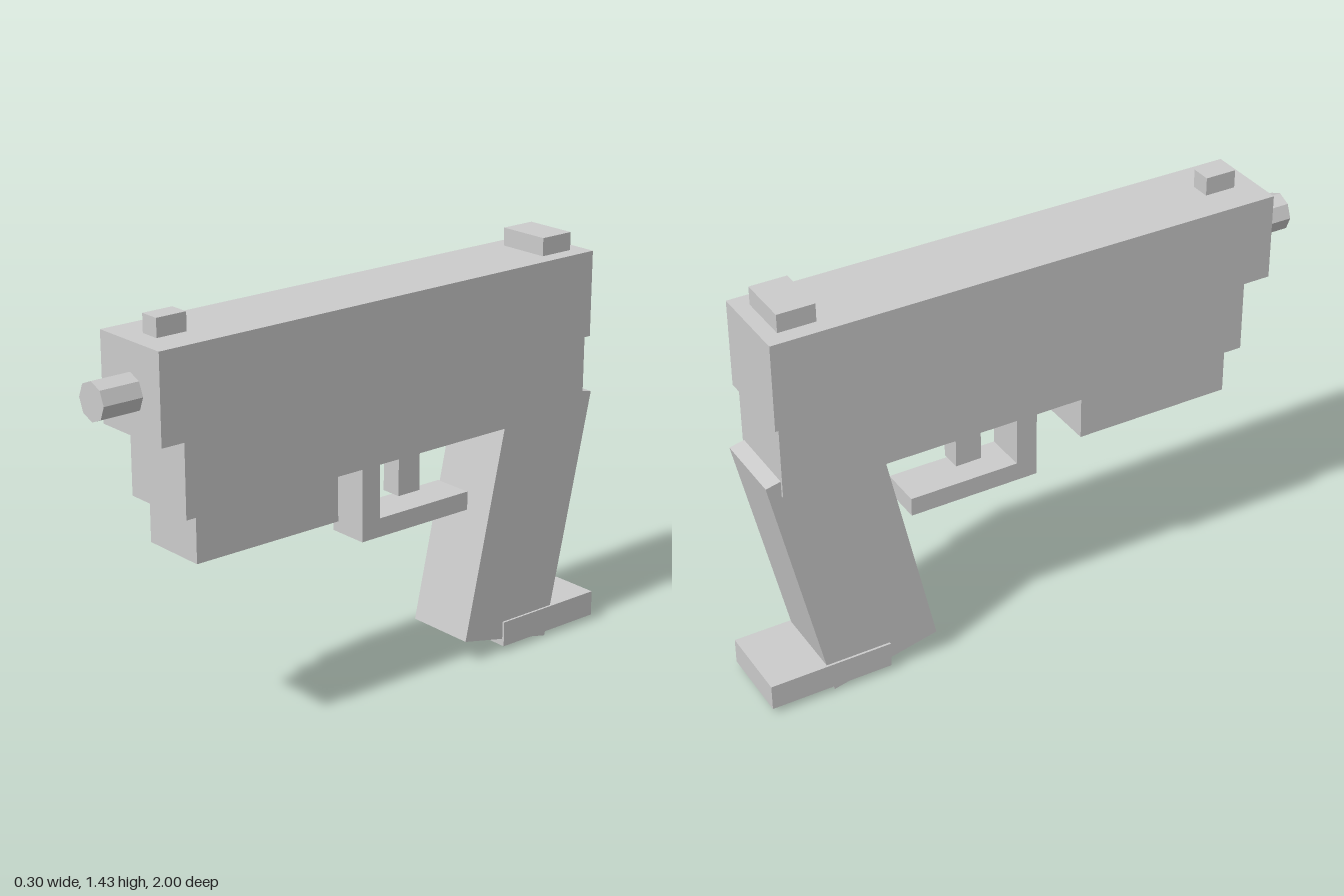
import * as THREE from 'three';

export function createModel() {
  const model = new THREE.Group();
  model.name = 'toyBlaster';
  const grey = new THREE.MeshStandardMaterial({ color: 0xcccccc });
  grey.name = 'plainGrey';

  const add = (name, geometry, x, y, z) => {
    const mesh = new THREE.Mesh(geometry, grey);
    mesh.name = name;
    mesh.position.set(x, y, z);
    model.add(mesh);
    return mesh;
  };
  // Box centred on x = 0, given its width and its y and z ranges
  const block = (name, width, y0, y1, z0, z1) =>
    add(name, new THREE.BoxGeometry(width, y1 - y0, z1 - z0), 0, (y0 + y1) / 2, (z0 + z1) / 2);

  // Upper body
  block('slide', 0.3, 1.08, 1.378, -0.93, 0.86);
  block('frame', 0.28, 0.828, 1.08, -0.915, 0.77);
  block('underRail', 0.24, 0.667, 0.828, 0.16, 0.72);
  block('frontSight', 0.07, 1.378, 1.44, 0.675, 0.785);
  block('rearSight', 0.188, 1.378, 1.44, -0.878, -0.75);

  // Eight-sided barrel tip
  const barrel = new THREE.CylinderGeometry(0.064, 0.064, 0.2, 8).toNonIndexed();
  barrel.computeVertexNormals();
  barrel.rotateX(Math.PI / 2);
  add('barrel', barrel, 0, 1.217, 0.9);

  // Trigger and its guard
  block('guardPost', 0.148, 0.61, 0.828, -0.055, 0.02);
  block('guardBar', 0.148, 0.545, 0.61, -0.445, 0.02);
  block('trigger', 0.075, 0.65, 0.828, -0.26, -0.168);

  // Raked grip with a base plate
  const grip = add('grip', new THREE.BoxGeometry(0.26, 0.886, 0.388), 0, 0.48, -0.681);
  grip.rotation.x = -0.217;
  block('basePlate', 0.276, 0.025, 0.115, -1, -0.57);

  return model;
}
